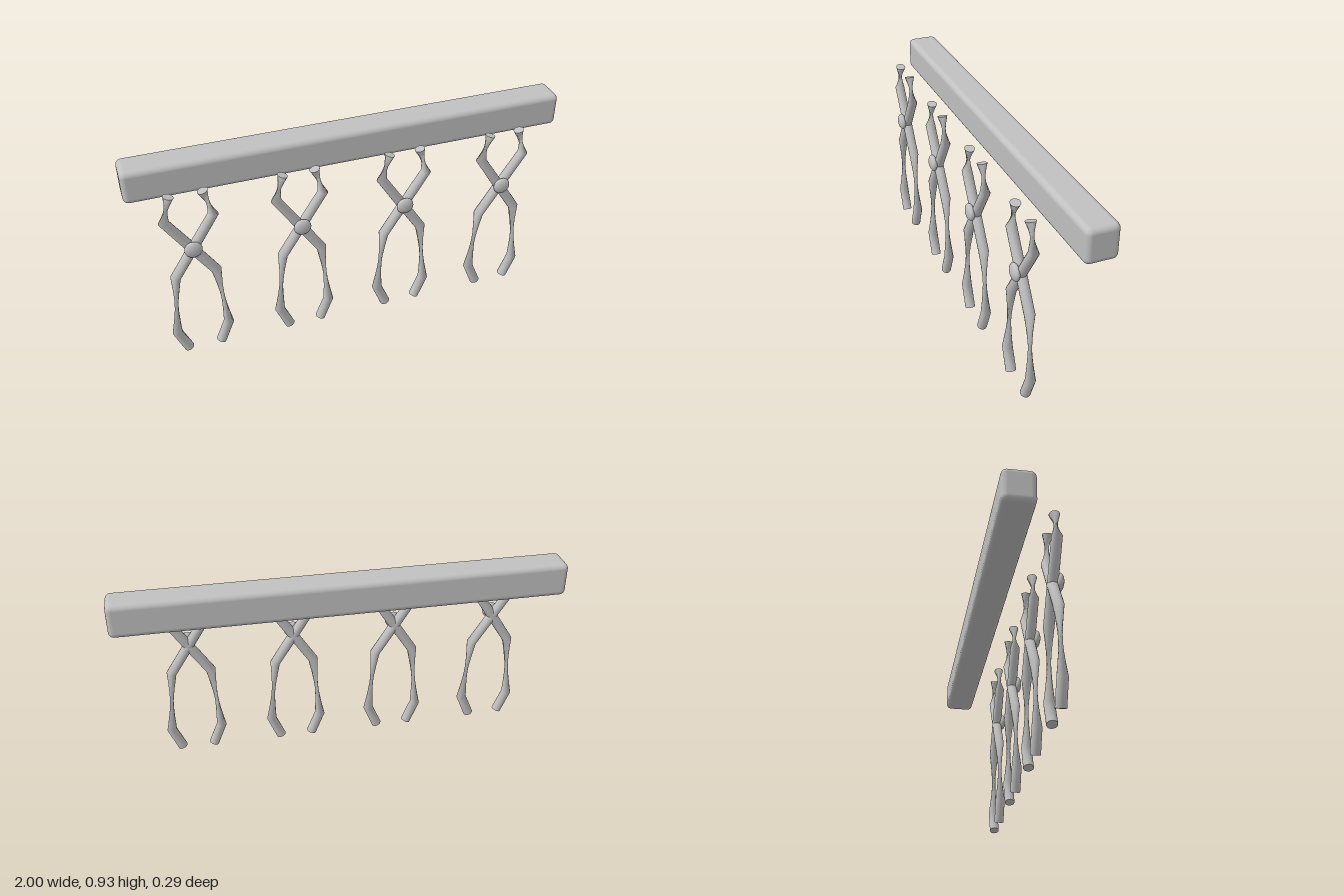
import * as THREE from 'three';
import { RoundedBoxGeometry } from 'three/addons/geometries/RoundedBoxGeometry.js';

const metal = new THREE.MeshStandardMaterial({ color: 0xc0c0c0 });
metal.name = 'grey metal';

const SIDES = 16, RADIUS = 0.023, TWIST = 2.75;

// Arm centre line: x, y and the twist added on the way to this ring
const ARM = [
  [-0.07, 0.862, 0],
  [-0.104, 0.738, TWIST],
  [0.004, 0.57, 0],
  [0.09, 0.436, 0],
  [0.118, 0.12, TWIST],
  [0.075, 0.015, 0],
];

// Tube of mitred rings; twisted sections pinch in the middle
function armGeometry() {
  const pos = [], index = [];
  const pts = ARM.map(([x, y]) => new THREE.Vector3(x, y, 0));
  const dir = (a, b) => pts[b].clone().sub(pts[a]).normalize();
  const last = pts.length - 1;
  const zAxis = new THREE.Vector3(0, 0, 1);
  let turn = 0;

  const addRing = (i) => {
    const t = new THREE.Vector3();
    if (i > 0) t.add(dir(i - 1, i));
    if (i < last) t.add(dir(i, i + 1));
    t.normalize();
    const u = new THREE.Vector3().crossVectors(zAxis, t);
    const start = pos.length / 3;
    for (let j = 0; j < SIDES; j++) {
      const a = turn + (j / SIDES) * Math.PI * 2;
      const p = pts[i].clone().addScaledVector(u, RADIUS * Math.cos(a)).addScaledVector(zAxis, RADIUS * Math.sin(a));
      pos.push(p.x, p.y, p.z);
    }
    return start;
  };
  const addCap = (i, flip) => {
    const s = addRing(i), c = pos.length / 3;
    pos.push(pts[i].x, pts[i].y, 0);
    for (let j = 0; j < SIDES; j++) {
      const a = s + j, b = s + (j + 1) % SIDES;
      if (flip) index.push(c, b, a);
      else index.push(c, a, b);
    }
  };

  addCap(0, true);
  let prev = addRing(0);
  for (let i = 1; i <= last; i++) {
    turn += ARM[i][2];
    const next = addRing(i);
    for (let j = 0; j < SIDES; j++) {
      const k = (j + 1) % SIDES;
      index.push(prev + j, prev + k, next + j, prev + k, next + k, next + j);
    }
    prev = next;
  }
  addCap(last, false);

  const g = new THREE.BufferGeometry();
  g.setAttribute('position', new THREE.Float32BufferAttribute(pos, 3));
  g.setIndex(index);
  g.computeVertexNormals();
  return g;
}

export function createModel() {
  const model = new THREE.Group();
  model.name = 'tongRack';

  const add = (parent, geometry, name) => {
    const mesh = new THREE.Mesh(geometry, metal);
    mesh.name = name;
    parent.add(mesh);
    return mesh;
  };

  // Long rounded beam
  const beam = add(model, new RoundedBoxGeometry(2, 0.154, 0.142, 4, 0.025), 'beam');
  beam.position.set(0, 0.863, -0.073);

  // Four pairs of tongs in front of the beam
  const arm = armGeometry();
  const rivetGeometry = new THREE.SphereGeometry(0.039, 24, 16);
  for (let i = 0; i < 4; i++) {
    const tongs = new THREE.Group();
    tongs.name = 'tongs' + (i + 1);
    tongs.position.set(-0.757 + i * 0.479, 0, 0.098);
    add(tongs, arm, 'armA');
    add(tongs, arm, 'armB').rotation.y = Math.PI;
    const rivet = add(tongs, rivetGeometry, 'pivotRivet');
    rivet.scale.z = 0.46;
    rivet.position.set(0, 0.591, 0.028);
    model.add(tongs);
  }
  return model;
}
